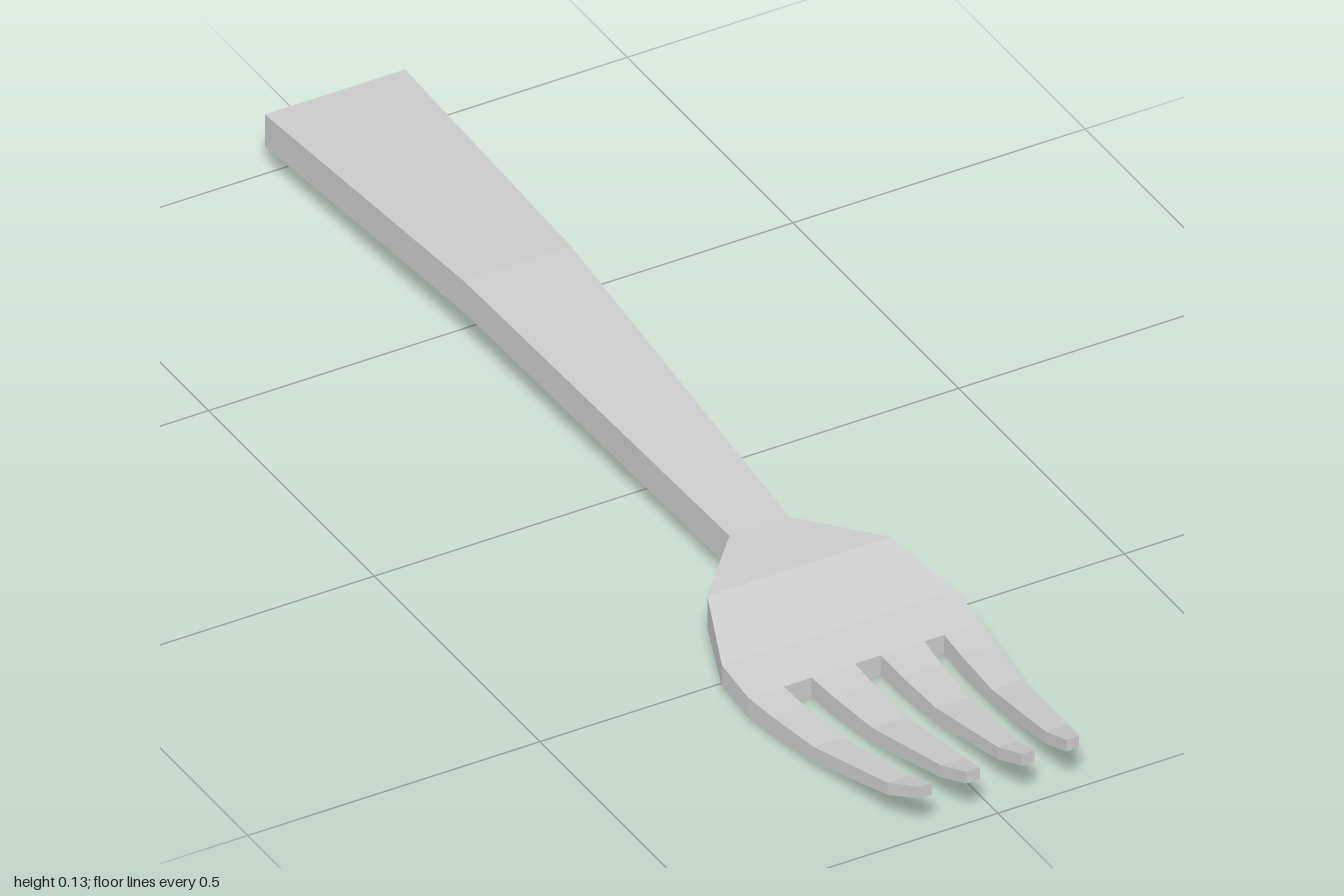
import * as THREE from 'three';

const material = new THREE.MeshStandardMaterial({ color: 0xcccccc, flatShading: true });

// Joins rectangular sections [z, xMin, xMax, yMin, yMax], ordered from back to front
function loft(name, sections) {
  const positions = [];
  const rings = sections.map(([z, x0, x1, y0, y1]) => [[x0, y0, z], [x1, y0, z], [x1, y1, z], [x0, y1, z]]);
  const quad = (a, b, c, d) => positions.push(...a, ...b, ...c, ...a, ...c, ...d);
  for (let i = 0; i < rings.length - 1; i++) {
    const p = rings[i], q = rings[i + 1];
    for (let k = 0; k < 4; k++) {
      const n = (k + 1) % 4;
      quad(p[k], p[n], q[n], q[k]);
    }
  }
  const first = rings[0], last = rings[rings.length - 1];
  quad(first[3], first[2], first[1], first[0]);
  quad(...last);
  const geometry = new THREE.BufferGeometry();
  geometry.setAttribute('position', new THREE.Float32BufferAttribute(positions, 3));
  geometry.computeVertexNormals();
  const mesh = new THREE.Mesh(geometry, material);
  mesh.name = name;
  return mesh;
}

// Symmetric section given by its half width
const section = (z, half, y0, y1) => [z, -half, half, y0, y1];

export function createModel() {
  const group = new THREE.Group();
  group.name = 'fork';

  // Arched handle, narrowing towards the neck
  group.add(loft('handle', [
    section(-1, 0.12, 0.05, 0.107),
    section(-0.45, 0.092, 0.07, 0.126),
    section(0.28, 0.051, 0.03, 0.088),
  ]));

  // Flared head, dipping to the root of the tines
  group.add(loft('head', [
    section(0.28, 0.051, 0.03, 0.088),
    section(0.4, 0.157, 0.03, 0.087),
    section(0.52, 0.2, 0.01, 0.048),
    section(0.6, 0.2, 0.002, 0.037),
  ]));

  // Tines: left and right edges at the root, the shoulder and the tip
  const tines = [
    ['outerRightTine', [-0.2, -0.14], [-0.155, -0.116], [-0.134, -0.113]],
    ['innerRightTine', [-0.092, -0.018], [-0.063, -0.021], [-0.054, -0.031]],
    ['innerLeftTine', [0.026, 0.101], [0.034, 0.07], [0.041, 0.063]],
    ['outerLeftTine', [0.135, 0.2], [0.116, 0.155], [0.117, 0.139]],
  ];
  for (const [name, root, shoulder, tip] of tines) {
    const at = (z) => root.map((x, i) => THREE.MathUtils.mapLinear(z, 0.6, 0.94, x, shoulder[i]));
    group.add(loft(name, [
      [0.6, ...root, 0.002, 0.037],
      [0.66, ...at(0.66), 0, 0.035],
      [0.76, ...at(0.76), 0.009, 0.037],
      [0.94, ...shoulder, 0.05, 0.072],
      [1, ...tip, 0.072, 0.093],
    ]));
  }
  return group;
}
